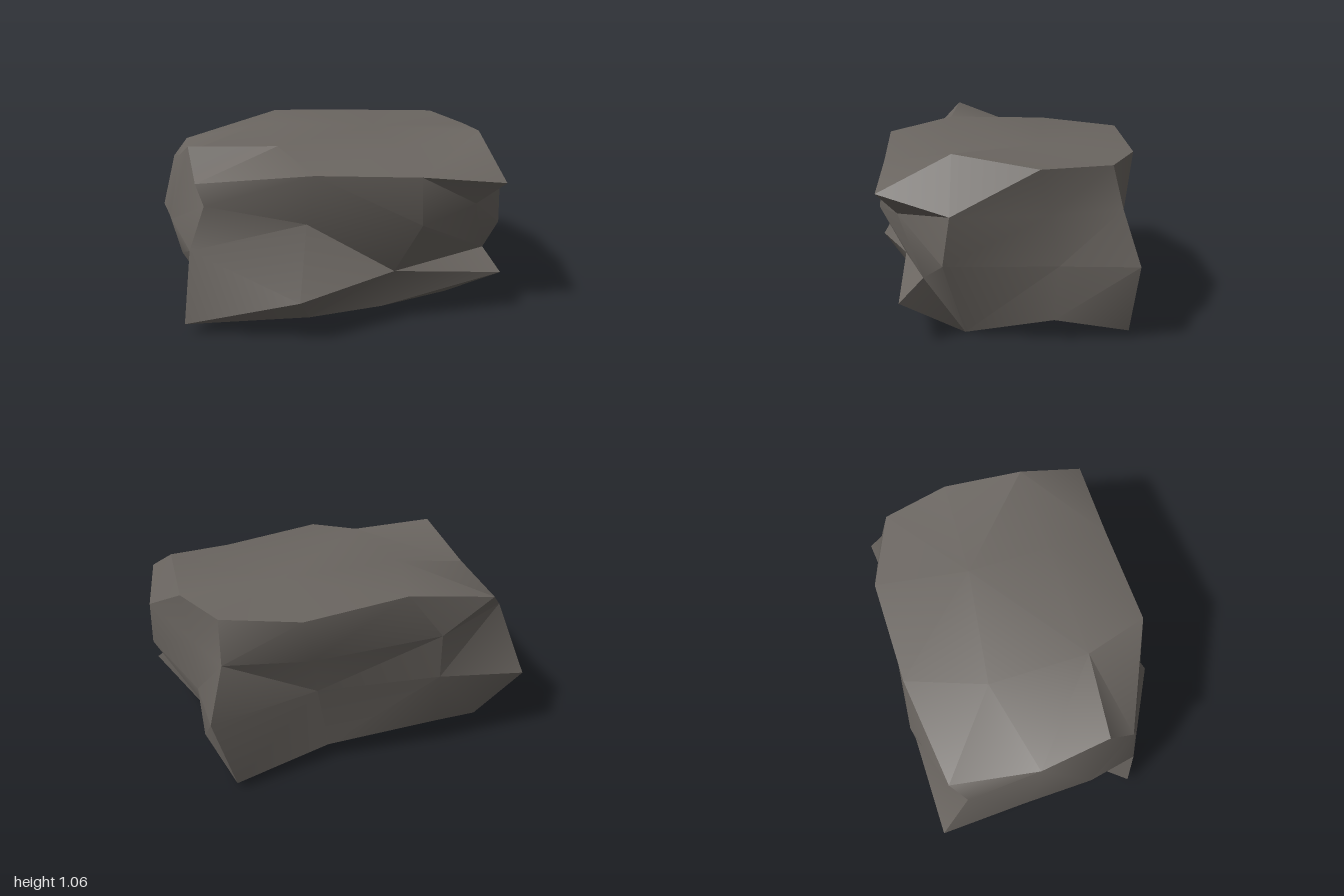
import * as THREE from 'three';
import { toCreasedNormals } from 'three/addons/utils/BufferGeometryUtils.js';

// Four cross-sections from bottom to top. Each loop runs along the front (left to
// right on screen), back along the +x side, along the rear, then forward on -x.
const LOOPS = [
  [[-0.95, 0.06, 0.46], [-0.25, 0.11, 0.62], [0.2, 0.095, 0.53], [0.92, 0.26, 0.56],
   [0.7, 0, 0.21], [0.85, 0.13, -0.28], [0.79, 0.04, -0.7], [0.2, 0.09, -0.6],
   [-0.46, 0.15, -0.69], [-0.73, 0.13, -0.67], [-0.79, 0.03, -0.33], [-0.8, 0.18, 0.22]],
  [[-0.9, 0.51, 0.46], [-0.33, 0.27, 0.765], [0.26, 0.33, 0.57], [0.85, 0.38, 0.43],
   [0.99, 0.49, 0.32], [0.88, 0.45, -0.3], [0.93, 0.46, -0.73], [0.27, 0.46, -0.6],
   [-0.42, 0.49, -0.765], [-1, 0.39, -0.75], [-0.98, 0.48, -0.25], [-0.93, 0.4, 0.2]],
  [[-0.81, 0.77, 0.47], [-0.25, 0.65, 0.55], [0.38, 0.65, 0.705], [0.74, 0.71, 0.57],
   [1, 0.76, 0.28], [0.88, 0.73, -0.24], [0.83, 0.75, -0.64], [0.35, 0.72, -0.72],
   [-0.42, 0.75, -0.77], [-0.92, 0.78, -0.56], [-0.94, 0.7, -0.15], [-0.98, 0.6, 0.16]],
  [[-0.85, 0.89, 0.43], [-0.23, 0.975, 0.69], [0.38, 0.92, 0.67], [0.88, 0.855, 0.67],
   [0.85, 1.06, 0.27], [0.92, 0.99, -0.19], [0.82, 0.99, -0.58], [0.41, 0.975, -0.75],
   [-0.22, 1.01, -0.73], [-0.83, 0.87, -0.64], [-0.905, 0.9, -0.13], [-0.87, 1.06, 0.27]],
];

// Inner points of the two caps, indexed by [z step - 1][x step - 1]
const BOTTOM = [[[-0.3, 0.13, -0.25], [0.3, 0.12, -0.25]], [[-0.3, 0.13, 0.25], [0.28, 0.11, 0.2]]];
const TOP = [[[-0.38, 1.035, -0.28], [0.33, 1.0, -0.2]], [[-0.37, 1.045, 0.31], [0.35, 0.98, 0.3]]];

// The one cell, at the low front of the +x side, that folds along its longer diagonal
const LONG_FOLD = 6;

// Surface point for grid steps 0..3 along x, y and z
function rockPoint(i, j, k) {
  if (k === 3) return LOOPS[j][i];
  if (i === 3) return LOOPS[j][6 - k];
  if (k === 0) return LOOPS[j][9 - i];
  if (i === 0) return LOOPS[j][9 + k];
  return (j === 0 ? BOTTOM : TOP)[k - 1][i - 1];
}

export function createModel() {
  const group = new THREE.Group();
  group.name = 'boulder';
  const stone = new THREE.MeshStandardMaterial({ color: 0x6b6661 });
  stone.name = 'warm grey stone';

  // Block of three segments per side, moved onto the rock's grid
  const block = new THREE.BoxGeometry(3, 3, 3, 3, 3, 3);
  const pos = block.attributes.position;
  const step = (v) => Math.round(v + 1.5);
  for (let n = 0; n < pos.count; n++) {
    pos.setXYZ(n, ...rockPoint(step(pos.getX(n)), step(pos.getY(n)), step(pos.getZ(n))));
  }

  // Fold each cell along its shorter diagonal
  const index = block.index;
  const corner = (n) => new THREE.Vector3().fromBufferAttribute(pos, n);
  const span = (m, n) => corner(m).distanceTo(corner(n));
  for (let cell = 0; cell < index.count / 6; cell++) {
    const [a, b, d, , c] = index.array.slice(cell * 6, cell * 6 + 6);
    if (span(a, c) < span(b, d) || cell === LONG_FOLD) {
      index.array.set([a, b, c, a, c, d], cell * 6);
    }
  }

  // Smooth over shallow folds, sharp at steep ones
  const rock = new THREE.Mesh(toCreasedNormals(block, 0.6), stone);
  rock.name = 'rock';
  group.add(rock);
  return group;
}
